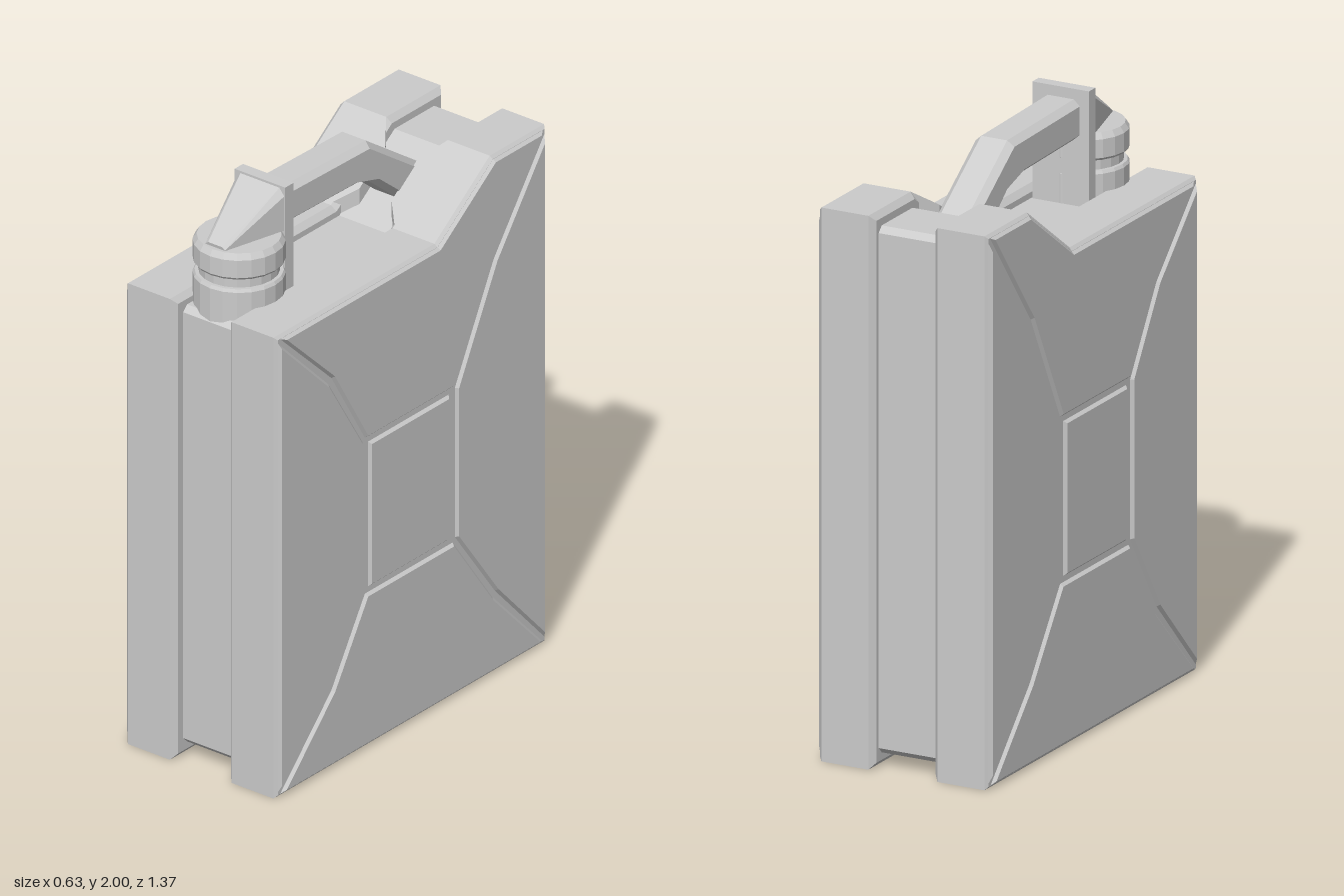
import * as THREE from 'three';
import { ConvexGeometry } from 'three/addons/geometries/ConvexGeometry.js';

const material = new THREE.MeshStandardMaterial({ color: 0xcccccc, flatShading: true });

function add(parent, name, geometry) {
  const mesh = new THREE.Mesh(geometry, material);
  mesh.name = name;
  parent.add(mesh);
  return mesh;
}

// Moves every edge of a counter-clockwise outline inward by d (mitred corners).
function inset(points, d) {
  const n = points.length;
  return points.map((p, i) => {
    const a = p.clone().sub(points[(i + n - 1) % n]).normalize();
    const b = points[(i + 1) % n].clone().sub(p).normalize();
    const na = new THREE.Vector2(-a.y, a.x), nb = new THREE.Vector2(-b.y, b.x);
    return p.clone().addScaledVector(na.clone().add(nb), d / (1 + na.dot(nb)));
  });
}

// Lofts a (z, y) outline across x. Each station is [x, inset].
function loft(outline, stations) {
  let base = outline.map(([z, y]) => new THREE.Vector2(z, y));
  if (THREE.ShapeUtils.isClockWise(base)) base.reverse();
  const sorted = [...stations].sort((a, b) => a[0] - b[0]);
  const n = base.length, pos = [], index = [];
  for (const [x, d] of sorted) for (const p of inset(base, d)) pos.push(x, p.y, p.x);
  const last = (sorted.length - 1) * n;
  for (let s = 0; s < last; s += n) {
    for (let i = 0; i < n; i++) {
      const j = (i + 1) % n;
      index.push(s + i, s + j, s + n + j, s + i, s + n + j, s + n + i);
    }
  }
  for (const [a, b, c] of THREE.ShapeUtils.triangulateShape(base, [])) {
    index.push(a, c, b);
    index.push(last + a, last + b, last + c);
  }
  // (z, y) is left-handed about +x, so every triangle is turned over
  for (let i = 0; i < index.length; i += 3) {
    [index[i + 1], index[i + 2]] = [index[i + 2], index[i + 1]];
  }
  // caps follow the same rule as the walls
  const g = new THREE.BufferGeometry();
  g.setAttribute('position', new THREE.Float32BufferAttribute(pos, 3));
  g.setIndex(index);
  const flat = g.toNonIndexed();
  flat.computeVertexNormals();
  return flat;
}

const bodyOutline = [[0.685, 0], [0.685, 1.65], [-0.13, 1.65], [-0.41, 1.85], [-0.685, 1.85], [-0.685, 0]];

const coreOutline = [
  [0.62, 0.045], [0.64, 0.065], [0.64, 1.59], [0.62, 1.61], [-0.15, 1.61],
  [-0.43, 1.805], [-0.63, 1.805], [-0.65, 1.785], [-0.65, 0.065], [-0.63, 0.045],
];

// Raised pressings on each side; the gaps between them form the X groove.
const panels = {
  centrePanel: [[0.22, 0.57], [0.22, 1.09], [-0.19, 1.09], [-0.19, 0.57]],
  upperPanel: [
    [0.665, 1.64], [0.405, 1.393], [0.235, 1.108], [-0.21, 1.108], [-0.402, 1.49],
    [-0.668, 1.84], [-0.413, 1.84], [-0.133, 1.64],
  ],
  lowerPanel: [[0.665, 0.01], [0.405, 0.275], [0.235, 0.552], [-0.21, 0.552], [-0.41, 0.275], [-0.665, 0.01]],
  frontPanel: [[0.675, 0.02], [0.418, 0.29], [0.246, 0.565], [0.246, 1.1], [0.418, 1.377], [0.675, 1.63]],
  backPanel: [[-0.675, 0.02], [-0.422, 0.29], [-0.22, 0.565], [-0.22, 1.1], [-0.416, 1.48], [-0.675, 1.825]],
};

const slopeY = (z) => 1.65 + (-0.13 - z) * (0.2 / 0.28);

export function createModel() {
  const can = new THREE.Group();
  can.name = 'fuelCan';

  // Recessed core between the two half shells
  add(can, 'core', loft(coreOutline, [[-0.11, 0], [0.11, 0]]));

  for (const [side, s] of [['left', 1], ['right', -1]]) {
    const half = new THREE.Group();
    half.name = side + 'Half';
    can.add(half);
    const at = (list) => list.map(([x, d]) => [x * s, d]);
    add(half, 'shell', loft(bodyOutline, at([[0.107, 0.02], [0.125, 0], [0.295, 0], [0.305, 0.01]])));
    for (const [name, outline] of Object.entries(panels)) {
      add(half, name, loft(outline, at([[0.304, 0], [0.315, 0.01]])));
    }
    // Gusset on the sloping shoulder beside the handle
    const gusset = [];
    for (const [x, z] of [[0.125, -0.41], [0.125, -0.14], [0.065, -0.33], [0.065, -0.2]]) {
      gusset.push(new THREE.Vector3(x * s, slopeY(z), z), new THREE.Vector3(x * s, slopeY(z) - 0.08, z));
    }
    add(half, 'shoulderGusset', new ConvexGeometry(gusset));
  }

  // Carrying handle with chamfered edges
  const handleOutline = [
    [0.36, 1.965], [-0.09, 1.955], [-0.4, 1.74], [-0.28, 1.66], [-0.085, 1.82], [0.36, 1.83],
  ];
  add(can, 'handle', loft(handleOutline, [[-0.07, 0.02], [-0.047, 0], [0.047, 0], [0.07, 0.02]]));

  // Upright bracket joining handle and cap lever
  const bracket = add(can, 'handleBracket', new THREE.BoxGeometry(0.205, 0.4, 0.042));
  bracket.position.set(0, 1.8, 0.364);

  // Tapered cap lever with chamfered upper edges
  const lever = [];
  for (const s of [-1, 1]) {
    for (const [x, y, z] of [
      [0.1, 1.845, 0.38], [0.1, 1.97, 0.38], [0.08, 1.995, 0.38],
      [0.04, 1.845, 0.61], [0.04, 1.848, 0.61], [0.028, 1.856, 0.612],
    ]) lever.push(new THREE.Vector3(x * s, y, z));
  }
  add(can, 'capLever', new ConvexGeometry(lever));

  // Filler neck and cap, turned as one profile
  const profile = [
    [0, 1.58], [0.148, 1.58], [0.148, 1.71], [0.142, 1.72], [0.13, 1.72], [0.13, 1.755],
    [0.142, 1.755], [0.148, 1.763], [0.148, 1.825], [0.135, 1.845], [0, 1.845],
  ].map(([r, y]) => new THREE.Vector2(r, y));
  const cap = add(can, 'neckAndCap', new THREE.LatheGeometry(profile, 20));
  cap.position.z = 0.49;

  return can;
}
